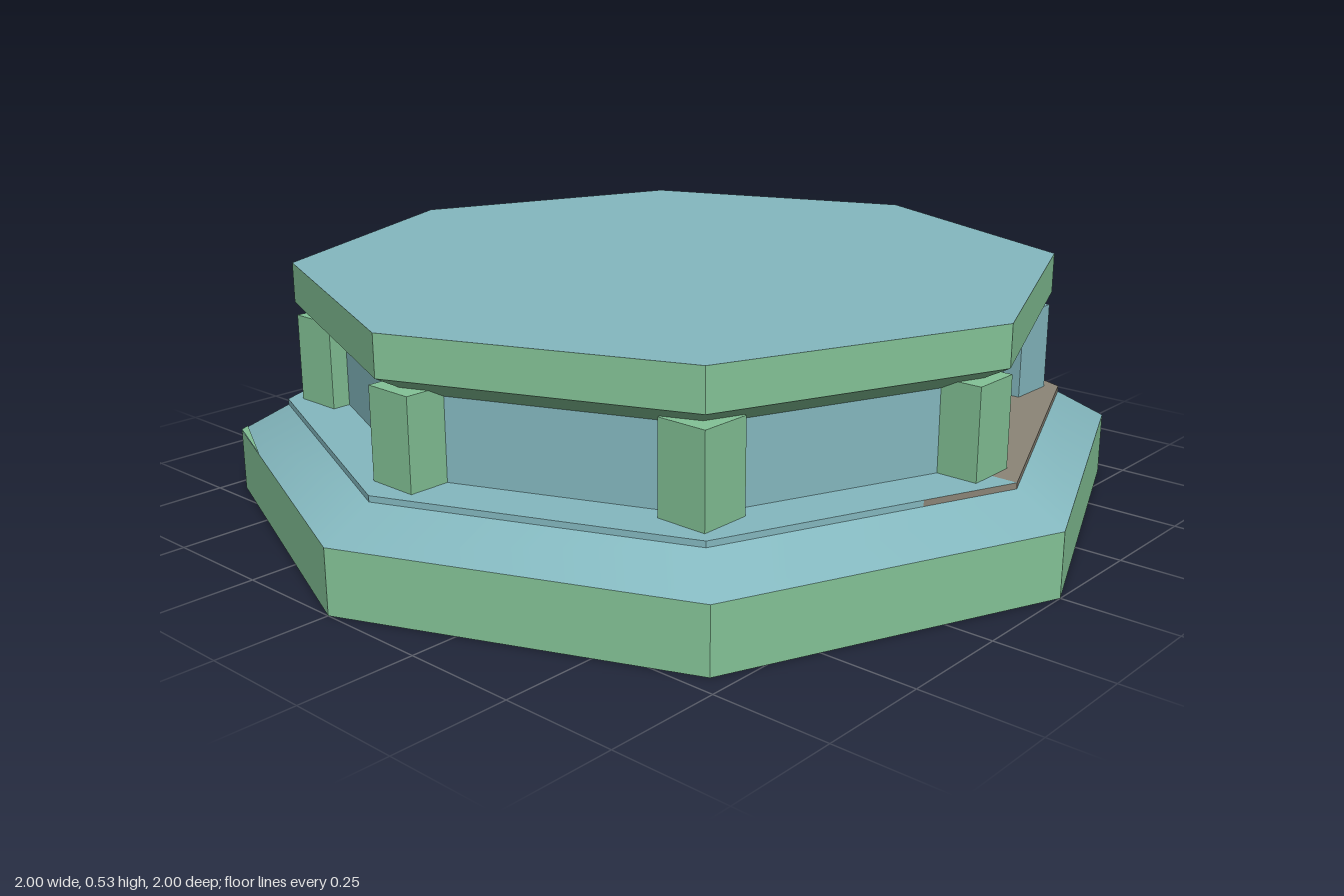
import * as THREE from 'three';

const SIDES = 8;

export function createModel() {
  const model = new THREE.Group();
  model.name = 'octagonalPlinth';

  const material = (name, color) => {
    const m = new THREE.MeshStandardMaterial({ color });
    m.name = name;
    return m;
  };
  const green = material('green', 0x83c296);
  const blue = material('blue', 0x84b8bf);
  const brown = material('brown', 0x8b8577);

  const add = (name, geometry, mat) => {
    const mesh = new THREE.Mesh(geometry, mat);
    mesh.name = name;
    model.add(mesh);
    return mesh;
  };

  // Eight-sided prism or frustum with corners on the x and z axes
  const octagon = (name, rTop, rBottom, y0, y1, mat, { open = false, flat = true } = {}) => {
    let g = new THREE.CylinderGeometry(rTop, rBottom, y1 - y0, SIDES, 1, open);
    g.translate(0, (y0 + y1) / 2, 0);
    if (flat) {
      g = g.toNonIndexed();
      g.computeVertexNormals();
    }
    return add(name, g, mat);
  };

  // Point on side k at fraction t between its two corners
  const corner = (k, r, y) => {
    const a = (k * Math.PI * 2) / SIDES;
    return new THREE.Vector3(r * Math.sin(a), y, r * Math.cos(a));
  };
  const onSide = (k, t, [r, y]) => corner(k, r, y).lerp(corner(k + 1, r, y), t);

  // Flat panels; each entry is [side, lowStart, lowEnd, highStart, highEnd]
  const panels = (name, low, high, list, mat) => {
    const pos = [];
    for (const [k, a = 0, b = 1, c = a, d = b] of list) {
      const p = onSide(k, a, low), q = onSide(k, b, low);
      const r = onSide(k, d, high), s = onSide(k, c, high);
      for (const v of [p, q, r, p, r, s]) pos.push(v.x, v.y, v.z);
    }
    const g = new THREE.BufferGeometry();
    g.setAttribute('position', new THREE.Float32BufferAttribute(pos, 3));
    g.computeVertexNormals();
    return add(name, g, mat);
  };

  // Base slab with its softly shaded sloping shoulder
  octagon('base', 1, 1, 0, 0.14, green);
  octagon('baseSlope', 0.89, 1, 0.14, 0.2, blue, { open: true, flat: false });
  panels('slopeEdgePaint', [1, 0.142], [0.986, 0.15],
    [[4, 0.7, 1, 1, 1], [5, 0, 0.25, 0, 0]], green);

  // Thin raised rim: outer edge and top
  const rimLow = [0.89, 0.2], rimHigh = [0.89, 0.213], rimInner = [0.74, 0.213];
  panels('rimEdgeBrown', rimLow, rimHigh, [[0], [1], [2], [3], [4, 0, 0.55], [7, 0.68, 1]], brown);
  panels('rimEdgeBlue', rimLow, rimHigh, [[4, 0.55, 1], [5], [6], [7, 0, 0.68]], blue);
  panels('rimTopBrown', rimHigh, rimInner, [[0], [1], [2], [3], [4, 0, 0.38]], brown);
  panels('rimTopBlue', rimHigh, rimInner, [[4, 0.38, 1], [5], [6], [7]], blue);

  // Drum walls, with slanted colour changes on two sides
  const drumLow = [0.766, 0.2], drumHigh = [0.766, 0.392];
  panels('drumBlue', drumLow, drumHigh,
    [[0], [1], [2, 0, 0.64, 0, 0.89], [4, 1, 1, 0.82, 1], [5], [6], [7]], blue);
  panels('drumBrown', drumLow, drumHigh,
    [[2, 0.64, 1, 0.89, 1], [3], [4, 0, 1, 0, 0.82]], brown);

  // Square posts at the corners, all aligned with the axes
  const postColours = [green, blue, blue, brown, brown, green, green, green];
  const postGeometry = new THREE.BoxGeometry(0.115, 0.21, 0.115);
  postColours.forEach((mat, k) => {
    add('post', postGeometry, mat).position.copy(corner(k, 0.775, 0.305));
  });

  // Cap: sloping underside, band and top
  octagon('capUnderside', 0.86, 0.766, 0.39, 0.44, green, { open: true, flat: false });
  octagon('cap', 0.86, 0.86, 0.44, 0.53, [green, blue, green]);

  return model;
}
